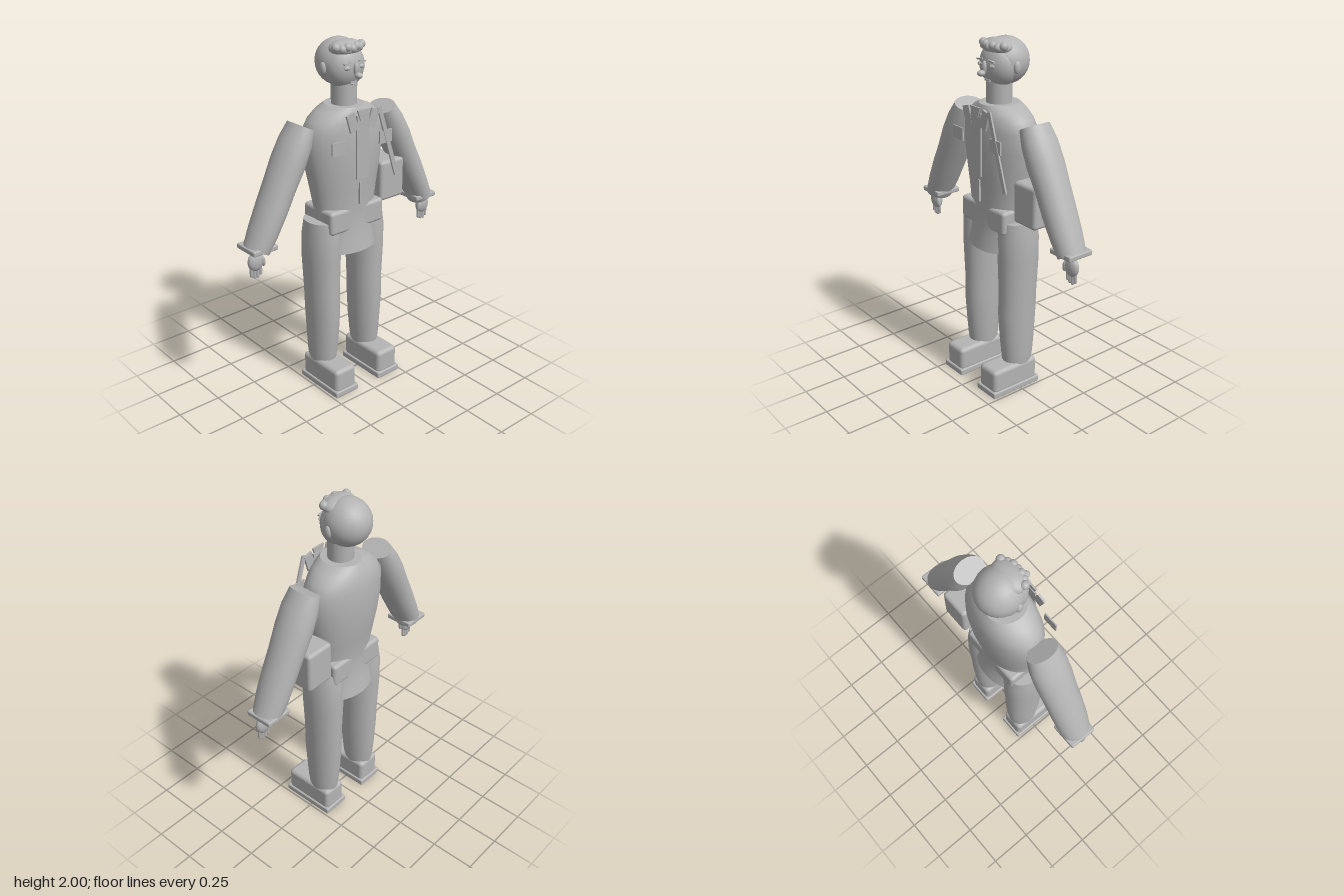
import * as THREE from 'three';
import { RoundedBoxGeometry } from 'three/addons/geometries/RoundedBoxGeometry.js';

// Closed tube through elliptical sections [y, centreX, centreZ, radiusX, radiusZ], listed bottom to top
function loft(sections, sides = 28) {
  const pos = [], idx = [];
  const ring = ([y, cx, cz, rx, rz]) => {
    for (let i = 0; i < sides; i++) {
      const a = (i / sides) * Math.PI * 2;
      pos.push(cx + Math.sin(a) * rx, y, cz + Math.cos(a) * rz);
    }
  };
  sections.forEach(ring);
  for (let r = 0; r < sections.length - 1; r++) {
    for (let i = 0; i < sides; i++) {
      const j = (i + 1) % sides, a = r * sides, b = a + sides;
      idx.push(a + i, a + j, b + j, a + i, b + j, b + i);
    }
  }
  // Flat end caps with their own corners, so the rims stay sharp
  [[sections[0], false], [sections[sections.length - 1], true]].forEach(([s, top]) => {
    const base = pos.length / 3;
    ring(s);
    pos.push(s[1], s[0], s[2]);
    for (let i = 0; i < sides; i++) {
      const j = (i + 1) % sides;
      if (top) idx.push(base + i, base + j, base + sides);
      else idx.push(base + j, base + i, base + sides);
    }
  });
  // Put the ring centre points in place
  const geo = new THREE.BufferGeometry();
  geo.setAttribute('position', new THREE.Float32BufferAttribute(pos, 3));
  geo.setIndex(idx);
  geo.computeVertexNormals();
  return geo;
}

export function createModel() {
  const model = new THREE.Group();
  model.name = 'figure';
  const grey = new THREE.MeshStandardMaterial({ color: 0xb4b4b4 });
  grey.name = 'plain grey';

  const add = (name, geo, x = 0, y = 0, z = 0, parent = model) => {
    const m = new THREE.Mesh(geo, grey);
    m.name = name;
    m.position.set(x, y, z);
    parent.add(m);
    return m;
  };
  const ball = (name, x, y, z, rx, ry, rz, parent) => {
    const m = add(name, new THREE.SphereGeometry(1, 24, 16), x, y, z, parent);
    m.scale.set(rx, ry, rz);
    return m;
  };
  const box = (name, x, y, z, w, h, d) => add(name, new THREE.BoxGeometry(w, h, d), x, y, z);
  const block = (name, x, y, z, w, h, d, r) =>
    add(name, new RoundedBoxGeometry(w, h, d, 2, r), x, y, z);

  // Jacket with flared hem
  add('jacket', loft([
    [0.84, 0, -0.027, 0.2, 0.153],
    [0.92, 0, -0.026, 0.192, 0.138],
    [1.0, 0, -0.025, 0.188, 0.127],
    [1.1, 0, -0.025, 0.193, 0.127],
    [1.2, 0, -0.03, 0.21, 0.138],
    [1.3, 0, -0.034, 0.23, 0.149],
    [1.42, 0, -0.036, 0.25, 0.156],
    [1.53, 0, -0.036, 0.252, 0.153],
    [1.59, 0, -0.033, 0.215, 0.142],
    [1.63, 0, -0.029, 0.165, 0.128],
    [1.657, 0, -0.025, 0.105, 0.112],
  ], 32));
  block('beltPouches', 0, 1.033, -0.025, 0.375, 0.135, 0.245, 0.02);

  // Jacket front: placket, zip, pockets, collar
  box('placket', 0, 1.45, 0.13, 0.084, 0.35, 0.01);
  box('zip', 0, 1.183, 0.113, 0.012, 0.125, 0.014);
  const flap = new THREE.Shape([[-0.042, 0.028], [-0.022, -0.03], [0.022, -0.03], [0.042, 0.028]]
    .map(([x, y]) => new THREE.Vector2(x, y)));
  add('collarTab', new THREE.ExtrudeGeometry(flap, { depth: 0.01, bevelEnabled: false }), 0, 1.627, 0.13);
  for (const s of [-1, 1]) {
    box('chestPocket', s * 0.162, 1.473, 0.13, 0.088, 0.072, 0.008);
    box('collar', s * 0.072, 1.595, 0.13, 0.054, 0.1, 0.012).rotation.z = s * -0.3;
  }

  // Shoulder bag
  block('bag', 0.298, 1.168, -0.05, 0.175, 0.235, 0.2, 0.02);
  box('bagStrap', 0.178, 1.443, 0.132, 0.026, 0.43, 0.01).rotation.z = 0.315;

  // Neck and head
  add('neck', new THREE.CylinderGeometry(0.07, 0.07, 0.15, 24), 0, 1.705, -0.022);
  ball('head', 0, 1.857, -0.02, 0.117, 0.121, 0.092);
  ball('hairBack', 0, 1.873, -0.064, 0.126, 0.127, 0.13);
  ball('hairTop', 0, 1.952, -0.01, 0.1, 0.045, 0.07);
  for (let i = -3; i <= 3; i++) {
    const t = i / 3;
    ball('curl', t * 0.085, 1.958 + (i % 2 ? 0.006 : -0.002), 0.045 - t * t * 0.03, 0.023, 0.023, 0.023);
  }

  // Face
  ball('noseBridge', 0, 1.853, 0.075, 0.014, 0.034, 0.014);
  ball('noseTip', 0, 1.824, 0.095, 0.02, 0.017, 0.023);
  box('mouth', 0, 1.782, 0.053, 0.042, 0.009, 0.012);
  ball('lowerLip', 0, 1.773, 0.05, 0.016, 0.006, 0.008);
  for (const s of [-1, 1]) {
    ball('eye', s * 0.048, 1.862, 0.064, 0.02, 0.011, 0.009);
    ball('pupil', s * 0.048, 1.862, 0.072, 0.007, 0.007, 0.005);
    box('eyebrow', s * 0.048, 1.888, 0.064, 0.045, 0.008, 0.014).rotation.z = s * -0.15;
    ball('ear', s * 0.122, 1.855, -0.045, 0.015, 0.034, 0.021);
  }

  for (const s of [-1, 1]) {
    // Sleeve, built upright from the shoulder and swung outwards
    const arm = add('sleeve', loft([
      [-0.684, 0, -0.03, 0.068, 0.082],
      [-0.58, 0, -0.03, 0.075, 0.094],
      [-0.45, 0, -0.03, 0.081, 0.099],
      [-0.33, 0, -0.032, 0.082, 0.101],
      [-0.2, 0, -0.032, 0.087, 0.107],
      [-0.09, 0, -0.032, 0.08, 0.105],
      [0, 0, -0.032, 0.064, 0.09],
    ]), s * 0.28, 1.583, 0);
    arm.rotation.z = s * 0.47;
    block('cuff', s * 0.578, 0.987, -0.035, 0.155, 0.03, 0.16, 0.008);

    // Hand with fingers and thumb
    const hand = new THREE.Group();
    hand.name = 'hand';
    hand.position.set(s * 0.606, 0.915, -0.018);
    model.add(hand);
    ball('palm', 0, 0, 0, 0.047, 0.055, 0.027, hand);
    for (let i = 0; i < 4; i++) {
      const len = [0.055, 0.066, 0.068, 0.056][i];
      add('finger', new THREE.CapsuleGeometry(0.0095, len - 0.019, 4, 10),
        (i - 1.5) * 0.019, -0.03 - len / 2, 0, hand);
    }
    const thumb = ball('thumb', s * -0.038, -0.002, 0.012, 0.013, 0.033, 0.014, hand);
    thumb.rotation.z = s * -0.15;

    // Trouser leg
    add('trouserLeg', loft([
      [0.14, s * 0.158, -0.03, 0.07, 0.086],
      [0.2, s * 0.158, -0.03, 0.077, 0.096],
      [0.32, s * 0.156, -0.03, 0.084, 0.107],
      [0.47, s * 0.156, -0.029, 0.09, 0.116],
      [0.6, s * 0.157, -0.032, 0.092, 0.115],
      [0.8, s * 0.158, -0.033, 0.101, 0.122],
      [0.93, s * 0.157, -0.032, 0.102, 0.122],
      [1.03, s * 0.155, -0.03, 0.092, 0.108],
    ]));

    // Shoe
    block('shoeSole', s * 0.158, 0.019, 0.033, 0.163, 0.038, 0.33, 0.008);
    block('shoeUpper', s * 0.158, 0.093, 0.033, 0.146, 0.145, 0.31, 0.025);
  }
  return model;
}
